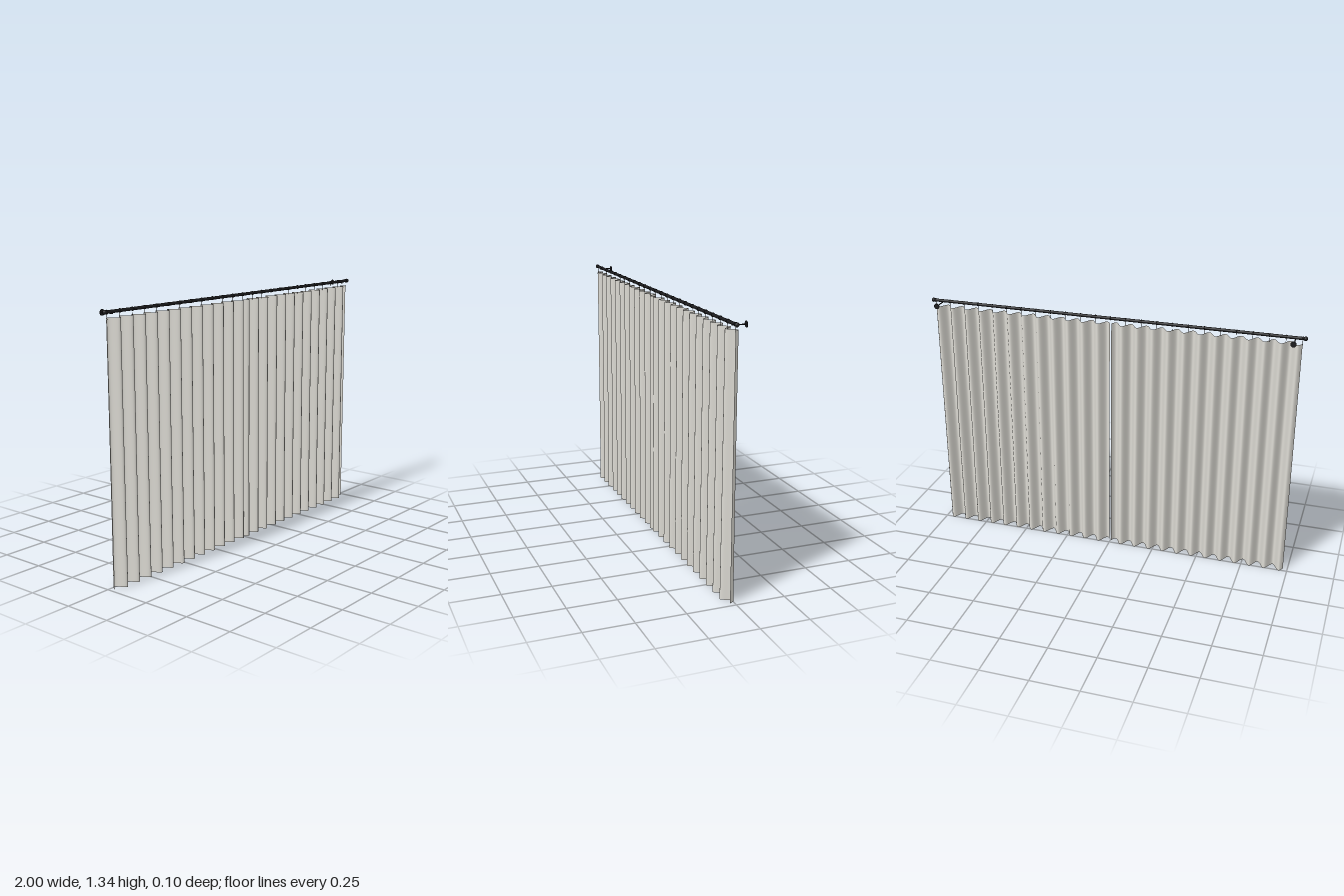
import * as THREE from 'three';

const ROD_Y = 1.324, ROD_Z = 0.022;
const INNER = 0.004, OUTER = 0.976, FOLDS = 12, TOP = 1.296;

// One pleated panel: a plane pushed into sine folds, a little deeper at the hem
function panelGeometry(side) {
  const width = OUTER - INNER;
  const geo = new THREE.PlaneGeometry(width, TOP, FOLDS * 16, 16);
  geo.translate(side * (INNER + OUTER) / 2, TOP / 2, 0);
  const p = geo.attributes.position;
  for (let i = 0; i < p.count; i++) {
    const u = (Math.abs(p.getX(i)) - INNER) / width;
    const drop = 1 - p.getY(i) / TOP;
    const depth = 0.0232 + 0.0028 * drop ** 3;
    p.setZ(i, ROD_Z + depth * Math.sin(u * FOLDS * Math.PI * 2));
  }
  geo.computeVertexNormals();
  return geo;
}

export function createModel() {
  const model = new THREE.Group();
  model.name = 'curtains';
  const fabric = new THREE.MeshStandardMaterial({ color: 0xdedcd5, side: THREE.DoubleSide });
  fabric.name = 'linen';
  const metal = new THREE.MeshStandardMaterial({ color: 0x1c1c1e });
  metal.name = 'black metal';

  const add = (name, geo, mat, x = 0, y = 0, z = 0, parent = model) => {
    const mesh = new THREE.Mesh(geo, mat);
    mesh.name = name;
    mesh.position.set(x, y, z);
    parent.add(mesh);
    return mesh;
  };

  // Rod
  add('rod', new THREE.CylinderGeometry(0.008, 0.008, 1.976, 20).rotateZ(Math.PI / 2), metal, 0, ROD_Y, ROD_Z);

  // Panels, finials and wall brackets, mirrored
  const finial = new THREE.SphereGeometry(0.011, 20, 14);
  const arm = new THREE.CylinderGeometry(0.0028, 0.0028, 0.07, 12).rotateX(Math.PI / 2);
  const plate = new THREE.CylinderGeometry(0.015, 0.015, 0.003, 24).rotateX(Math.PI / 2);
  for (const side of [-1, 1]) {
    const label = side > 0 ? 'left' : 'right';
    add(label + 'Panel', panelGeometry(side), fabric);
    add(label + 'Finial', finial, metal, side * 0.989, ROD_Y, ROD_Z);
    const bracket = new THREE.Group();
    bracket.name = label + 'Bracket';
    bracket.position.set(side * 0.94, 1.314, 0);
    add('bracketArm', arm, metal, 0, 0, -0.012, bracket);
    add('wallPlate', plate, metal, 0, 0, -0.0465, bracket);
    model.add(bracket);
  }

  // Rings with thin hooks, one at every fold
  const ring = new THREE.TorusGeometry(0.0088, 0.0016, 8, 24).rotateY(Math.PI / 2);
  const hook = new THREE.CylinderGeometry(0.001, 0.001, 0.028, 6);
  for (let i = -FOLDS; i <= FOLDS; i++) {
    const x = i * OUTER / FOLDS;
    const hanger = new THREE.Group();
    hanger.name = 'hanger';
    hanger.position.set(x, 0, ROD_Z);
    add('ring', ring, metal, 0, ROD_Y, 0, hanger);
    add('hook', hook, metal, 0, 1.303, 0, hanger);
    model.add(hanger);
  }
  return model;
}
